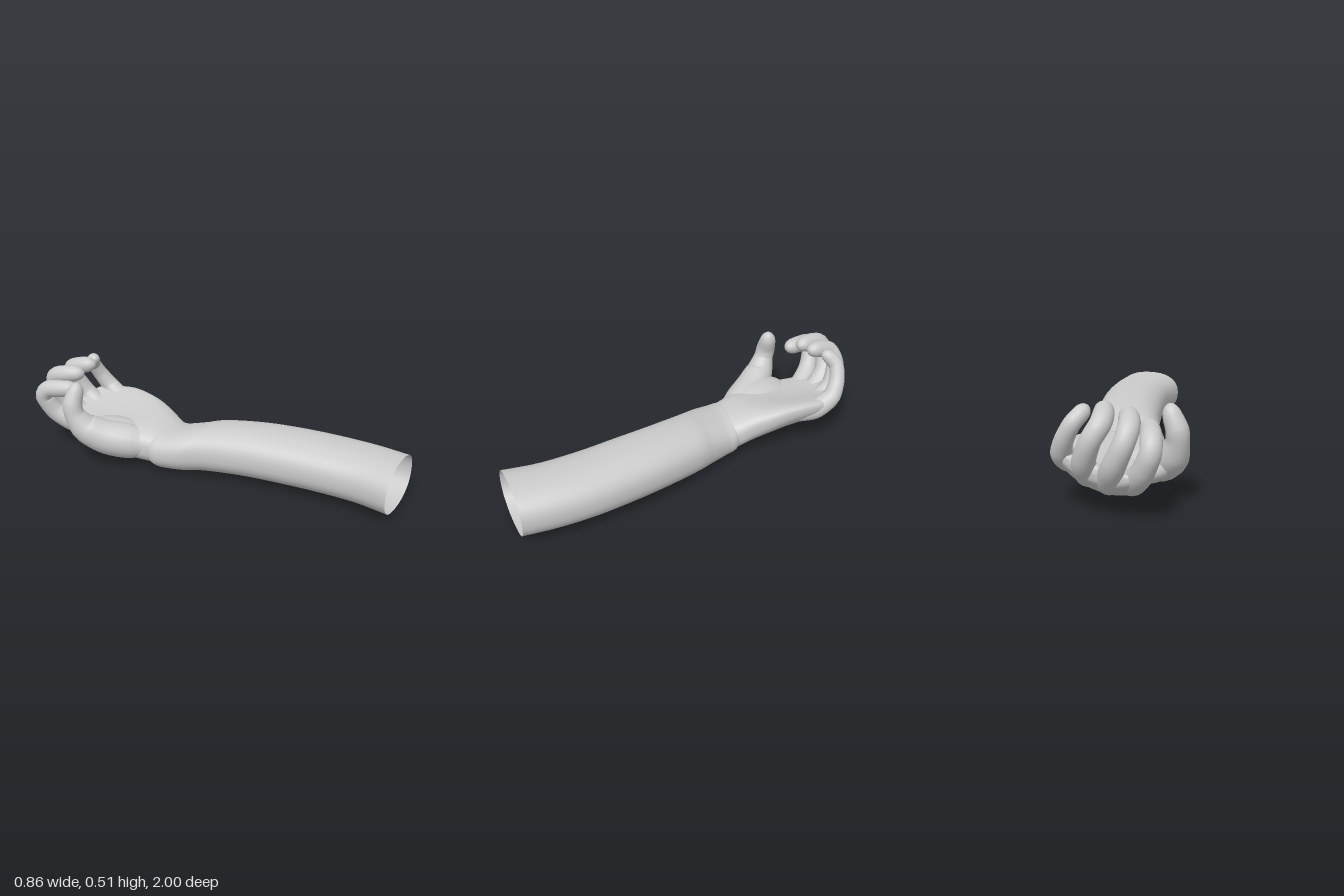
import * as THREE from 'three';

const material = new THREE.MeshStandardMaterial({ color: 0xcccccc, side: THREE.DoubleSide });

// Smooth closed-ring surface: point(t, angle) for t in 0..1
function ringSurface(name, rows, cols, point) {
  const positions = [], index = [];
  for (let i = 0; i <= rows; i++) {
    for (let j = 0; j < cols; j++) {
      positions.push(...point(i / rows, (j / cols) * Math.PI * 2));
      if (i === rows) continue;
      const k = (j + 1) % cols;
      const a = i * cols + j, b = i * cols + k, c = a + cols, d = b + cols;
      index.push(a, c, b, b, c, d);
    }
  }
  const geometry = new THREE.BufferGeometry();
  geometry.setAttribute('position', new THREE.Float32BufferAttribute(positions, 3));
  geometry.setIndex(index);
  geometry.computeVertexNormals();
  const mesh = new THREE.Mesh(geometry, material);
  mesh.name = name;
  return mesh;
}

// Catmull-Rom blend through a list of equal-length rows
function blend(list, t) {
  const n = list.length - 1, i = Math.min(Math.floor(t * n), n - 1), f = t * n - i;
  const at = (k) => list[Math.max(0, Math.min(n, k))];
  return list[i].map((p1, c) => {
    const p0 = at(i - 1)[c], p2 = at(i + 1)[c], p3 = at(i + 2)[c];
    const m1 = (p2 - p0) / 2, m2 = (p3 - p1) / 2;
    return p1 + f * (m1 + f * (3 * (p2 - p1) - 2 * m1 - m2 + f * (2 * (p1 - p2) + m1 + m2)));
  });
}

// Lofted limb: rows are z, centre x, half width, centre y, half height, cup, slope, skew
function loft(name, sections, steps, squareness) {
  return ringSurface(name, steps, 48, (t, a) => {
    const [z, cx, w, cy, h, cup, slope, skew] = blend(sections, t);
    const soft = (v) => Math.sign(v) * Math.abs(v) ** squareness;
    const u = soft(Math.cos(a)), v = soft(Math.sin(a));
    return [cx + w * u, cy + h * v + cup * u * u + slope * u, z + skew * u];
  });
}

// Tapered digit along a jointed curve with a rounded tip: points are x, y, z, radius
function digit(name, points) {
  const curve = new THREE.CatmullRomCurve3(points.map((p) => new THREE.Vector3(...p)), false, 'catmullrom', 0.36);
  const steps = 40, frames = curve.computeFrenetFrames(steps);
  const radii = points.map((p) => [p[3]]);
  const length = curve.getLength(), tip = radii.at(-1)[0] * 1.4;
  return ringSurface(name, steps, 20, (t, a) => {
    // rings crowd toward the tip so that it closes roundly
    const s = 1 - (1 - t) ** 1.6;
    const k = Math.min(steps, Math.round(s * steps));
    const p = curve.getPointAt(s);
    const left = Math.min(1, ((1 - s) * length) / tip);
    const r = blend(radii, curve.getUtoTmapping(s))[0] * Math.sqrt(Math.max(0, 1 - (1 - left) ** 2));
    p.addScaledVector(frames.normals[k], r * Math.cos(a));
    p.addScaledVector(frames.binormals[k], -r * Math.sin(a));
    return p.toArray();
  });
}

export function createModel() {
  const group = new THREE.Group();
  group.name = 'armWithCuppedHand';

  // Forearm, open at the elbow end
  group.add(loft('forearm', [
    [0.98, 0.235, 0.19, 0.158, 0.132, 0, 0, -0.018],
    [0.8, 0.24, 0.184, 0.157, 0.133, 0, 0, -0.01],
    [0.6, 0.218, 0.188, 0.156, 0.134, 0, 0, 0],
    [0.4, 0.178, 0.188, 0.156, 0.135, 0, 0, 0],
    [0.2, 0.128, 0.184, 0.152, 0.134, 0, 0, 0],
    [0, 0.06, 0.18, 0.14, 0.129, 0, 0, 0],
    [-0.1, 0.01, 0.18, 0.125, 0.121, 0, 0, 0],
    [-0.2, -0.03, 0.175, 0.113, 0.11, 0, 0, 0],
    [-0.25, -0.042, 0.172, 0.115, 0.105, 0, 0, 0],
    [-0.3, -0.05, 0.15, 0.125, 0.09, 0, 0, 0],
  ], 72, 0.86));

  // Palm, cupped upward and closed behind the finger roots
  group.add(loft('palm', [
    [-0.2, -0.04, 0.15, 0.115, 0.09, 0, 0, 0],
    [-0.28, -0.045, 0.166, 0.125, 0.1, 0.005, 0.005, 0],
    [-0.36, -0.055, 0.188, 0.14, 0.105, 0.015, 0.02, 0],
    [-0.46, -0.06, 0.21, 0.143, 0.098, 0.035, 0.035, 0],
    [-0.56, -0.062, 0.218, 0.143, 0.09, 0.05, 0.045, 0],
    [-0.66, -0.06, 0.219, 0.148, 0.082, 0.055, 0.045, 0.01],
    [-0.74, -0.06, 0.215, 0.153, 0.076, 0.05, 0.042, 0.02],
    [-0.81, -0.065, 0.205, 0.166, 0.066, 0.04, 0.036, 0.03],
    [-0.865, -0.075, 0.185, 0.19, 0.052, 0.03, 0.03, 0.03],
    [-0.9, -0.085, 0.14, 0.205, 0.034, 0.02, 0.02, 0.025],
    [-0.91, -0.09, 0, 0.21, 0, 0, 0, 0],
  ], 66, 0.8));

  // Fingers curling up and back over the palm, and the upright thumb
  const digits = {
    indexFinger: [[-0.17, 0.15, -0.66, 0.05], [-0.215, 0.155, -0.8, 0.062], [-0.285, 0.225, -0.89, 0.054],
      [-0.333, 0.325, -0.922, 0.048], [-0.325, 0.375, -0.885, 0.048], [-0.297, 0.388, -0.8, 0.046], [-0.262, 0.4, -0.725, 0.04]],
    middleFinger: [[-0.09, 0.14, -0.68, 0.05], [-0.12, 0.155, -0.82, 0.062], [-0.17, 0.25, -0.925, 0.054],
      [-0.222, 0.355, -0.95, 0.048], [-0.236, 0.42, -0.915, 0.048], [-0.217, 0.442, -0.84, 0.047], [-0.178, 0.452, -0.75, 0.04]],
    ringFinger: [[-0.01, 0.155, -0.66, 0.05], [-0.015, 0.17, -0.79, 0.06], [-0.028, 0.25, -0.895, 0.053],
      [-0.075, 0.36, -0.937, 0.048], [-0.112, 0.43, -0.912, 0.048], [-0.104, 0.457, -0.845, 0.047], [-0.078, 0.475, -0.76, 0.04]],
    littleFinger: [[0.085, 0.2, -0.6, 0.05], [0.097, 0.208, -0.73, 0.058], [0.1, 0.265, -0.825, 0.05],
      [0.066, 0.345, -0.87, 0.043], [0.026, 0.415, -0.88, 0.04], [-0.005, 0.457, -0.85, 0.038], [-0.018, 0.482, -0.81, 0.034]],
    thumb: [[-0.12, 0.13, -0.28, 0.06], [-0.185, 0.14, -0.4, 0.095], [-0.27, 0.168, -0.51, 0.095], [-0.34, 0.225, -0.595, 0.08],
      [-0.373, 0.3, -0.635, 0.056], [-0.375, 0.36, -0.648, 0.053], [-0.352, 0.42, -0.645, 0.045], [-0.335, 0.477, -0.638, 0.037]],
  };
  for (const [name, points] of Object.entries(digits)) group.add(digit(name, points));

  // Thumb pad and webbing between thumb and index finger
  const pad = new THREE.Mesh(new THREE.SphereGeometry(1, 40, 24), material);
  pad.name = 'thumbPad';
  pad.scale.set(0.13, 0.085, 0.2);
  pad.position.set(-0.2, 0.163, -0.52);
  pad.rotation.y = 0.35;
  group.add(pad);

  return group;
}
